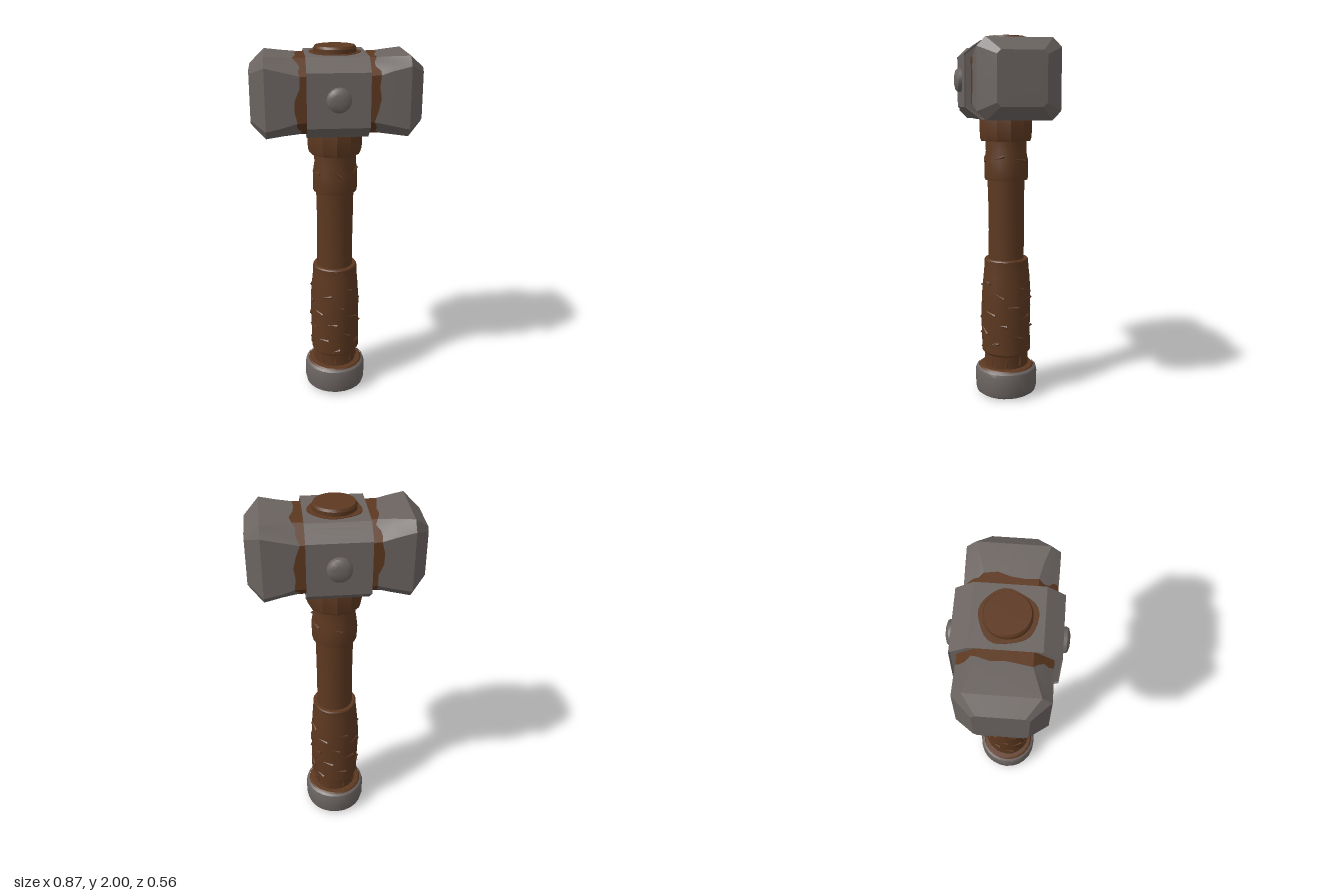
import * as THREE from 'three';
import { toCreasedNormals } from 'three/addons/utils/BufferGeometryUtils.js';

const steel = new THREE.MeshStandardMaterial({ color: 0x6b6461 });
steel.name = 'steel';
const wood = new THREE.MeshStandardMaterial({ color: 0x5c3820 });
wood.name = 'wood';

const HEAD_Y = 1.765;

function add(parent, name, geometry, material, crease = 0.5) {
  const mesh = new THREE.Mesh(crease ? toCreasedNormals(geometry, crease) : geometry, material);
  mesh.name = name;
  parent.add(mesh);
  return mesh;
}

// Chamfered rectangle across the head; xAt(j) allows a ragged edge
function ring(xAt, hy, hz, cy, cz = cy) {
  const c = [[hy, cz - hz], [hy, hz - cz], [hy - cy, hz], [cy - hy, hz],
    [-hy, hz - cz], [-hy, cz - hz], [cy - hy, -hz], [hy - cy, -hz]];
  const points = [];
  c.forEach(([y, z], i) => {
    const [y2, z2] = c[(i + 1) % 8];
    for (let k = 0; k < 4; k++) {
      const t = k / 4;
      const x = typeof xAt === 'function' ? xAt(points.length) : xAt;
      points.push([x, HEAD_Y + y + (y2 - y) * t, z + (z2 - z) * t]);
    }
  });
  return points;
}

// Skin over rings running along x; side -1 mirrors it
function loft(rings, side = 1, capStart = false, capEnd = false) {
  const pos = [], index = [], n = rings[0].length;
  rings.forEach(r => r.forEach(p => pos.push(p[0] * side, p[1], p[2])));
  const tri = (a, b, c) => (side > 0 ? index.push(a, b, c) : index.push(a, c, b));
  for (let i = 0; i < rings.length - 1; i++) {
    for (let j = 0; j < n; j++) {
      const a = i * n + j, b = i * n + (j + 1) % n;
      tri(a, b, b + n);
      tri(a, b + n, a + n);
    }
  }
  const cap = (i, flip, bulge) => {
    const center = pos.length / 3;
    pos.push((rings[i][0][0] + bulge) * side, HEAD_Y, 0);
    for (let j = 0; j < n; j++) {
      const a = i * n + j, b = i * n + (j + 1) % n;
      flip ? tri(center, b, a) : tri(center, a, b);
    }
  };
  if (capStart) cap(0, true, 0);
  if (capEnd) cap(rings.length - 1, false, 0.002);
  const g = new THREE.BufferGeometry();
  g.setAttribute('position', new THREE.Float32BufferAttribute(pos, 3));
  g.setIndex(index);
  return g;
}

// Turned part with a slight hand-carved unevenness
function turned(profile, sides, rough = 0, phase = 0) {
  const g = new THREE.LatheGeometry(profile.map(([r, y]) => new THREE.Vector2(r, y)), sides);
  const p = g.attributes.position;
  for (let i = 0; i < p.count; i++) {
    const x = p.getX(i), y = p.getY(i), z = p.getZ(i), a = Math.atan2(z, x);
    const k = 1 + rough * (Math.sin(3 * a + 9 * y + phase) + 0.7 * Math.sin(5 * a - 14 * y + phase));
    p.setX(i, x * k);
    p.setZ(i, z * k);
  }
  return g;
}

function buildHead() {
  const head = new THREE.Group();
  head.name = 'head';

  // Two striking blocks with rust-brown seams beside the middle band
  for (const side of [1, -1]) {
    const name = side > 0 ? 'left' : 'right';
    const edge = j => 0.2 + 0.013 * Math.sin(j * Math.PI / 4 + side) + 0.009 * Math.sin(j * Math.PI * 5 / 8);
    const seam = ring(edge, 0.19, 0.212, 0.075, 0.09);
    add(head, name + 'Seam', loft([ring(0.13, 0.188, 0.212, 0.075, 0.09), seam], side), wood);
    add(head, name + 'Block', loft([
      seam,
      ring(0.27, 0.195, 0.213, 0.06, 0.075),
      ring(0.36, 0.201, 0.213, 0.045, 0.045),
      ring(0.435, 0.135, 0.125, 0.02, 0.02),
    ], side, false, true), steel, 0.4);
  }

  // Middle band
  add(head, 'middleBand', loft([
    ring(-0.15, 0.195, 0.24, 0.065, 0.085),
    ring(-0.157, 0.2, 0.246, 0.065, 0.085),
    ring(0.157, 0.2, 0.246, 0.065, 0.085),
    ring(0.15, 0.195, 0.24, 0.065, 0.085),
  ], 1, true, true), steel, 0.4);

  // Domed bolts front and back
  for (const side of [1, -1]) {
    const bolt = add(head, side > 0 ? 'frontBolt' : 'backBolt', turned([
      [0.062, 0], [0.06, 0.022], [0.052, 0.03], [0.03, 0.036], [0, 0.037],
    ], 20), steel, 0.6);
    bolt.position.set(0, 1.77, side * 0.244);
    bolt.rotation.x = side * Math.PI / 2;
  }

  // Brown stain around the shaft end
  const outline = [];
  for (let i = 0; i < 32; i++) {
    const a = i / 32 * Math.PI * 2;
    const r = 0.131 + 0.004 * Math.sin(3 * a) + 0.004 * Math.sin(5 * a + 1);
    outline.push(new THREE.Vector2(r * Math.cos(a), r * Math.sin(a)));
  }
  const stain = new THREE.ExtrudeGeometry(new THREE.Shape(outline), { depth: 0.004, bevelEnabled: false });
  stain.rotateX(-Math.PI / 2).translate(0, HEAD_Y + 0.199, 0);
  add(head, 'topStain', stain, wood);
  return head;
}

function buildHandle() {
  const handle = new THREE.Group();
  handle.name = 'handle';

  add(handle, 'shaftEnd', turned([
    [0.109, 1.9], [0.109, 1.988], [0.102, 2], [0, 2],
  ], 32), wood);
  add(handle, 'collar', turned([
    [0.1, 1.445], [0.138, 1.447], [0.144, 1.465], [0.147, 1.55], [0.143, 1.58], [0, 1.58],
  ], 12, 0.008, 1), wood, 0.4);
  add(handle, 'upperSleeve', turned([
    [0.09, 1.232], [0.118, 1.234], [0.121, 1.25], [0.12, 1.34], [0.112, 1.39], [0.113, 1.46],
  ], 24, 0.012, 2), wood);
  add(handle, 'shaft', turned([
    [0.1, 0.76], [0.099, 0.95], [0.1, 1.1], [0.103, 1.25],
  ], 24, 0.008, 3), wood);

  const gripProfile = [
    [0.128, 0.245], [0.137, 0.255], [0.138, 0.38], [0.139, 0.5], [0.137, 0.6],
    [0.13, 0.69], [0.124, 0.75], [0.123, 0.785], [0.118, 0.792], [0.09, 0.792],
  ];
  add(handle, 'gripEnd', turned([
    [0.122, 0.15], [0.121, 0.2], [0.125, 0.27],
  ], 20, 0.012, 4), wood);
  add(handle, 'grip', turned([[0.1, 0.243], ...gripProfile], 28, 0.012, 5), wood);

  // Raised splinters over the grip and sleeve
  let seed = 7;
  const rand = () => (seed = (seed * 16807) % 2147483647) / 2147483647;
  const splinter = (y, r, angle, length, tilt) => {
    const mesh = add(handle, 'splinter', new THREE.ConeGeometry(0.008, length, 4), wood, 0.1);
    mesh.position.set(Math.sin(angle) * r, y, Math.cos(angle) * r);
    mesh.rotation.set(0, angle, tilt, 'YXZ');
  };
  for (let i = 0; i < 30; i++) {
    const y = 0.28 + 0.4 * (i / 30);
    splinter(y, y > 0.6 ? 0.133 : 0.138, i * 2.4, 0.04 + 0.04 * rand(), 1 + 0.9 * rand());
  }
  for (let i = 0; i < 9; i++) splinter(0.215, 0.12, i * 0.7, 0.06, 0.3 * (rand() - 0.5));
  for (let i = 0; i < 6; i++) splinter(1.33 + 0.04 * rand(), 0.118, i * 1.05, 0.06, 2 * rand());

  // Steel pommel with a brown rim on top
  add(handle, 'pommel', turned([
    [0, 0], [0.1, 0.002], [0.15, 0.006], [0.168, 0.018], [0.175, 0.045],
    [0.176, 0.13], [0.17, 0.152], [0.158, 0.162],
  ], 24, 0.004, 6), steel, 0.6);
  add(handle, 'pommelRim', turned([
    [0.16, 0.158], [0.15, 0.168], [0.11, 0.17],
  ], 16, 0.006, 7), wood);
  return handle;
}

export function createModel() {
  const model = new THREE.Group();
  model.name = 'hammer';
  model.add(buildHandle(), buildHead());
  return model;
}
